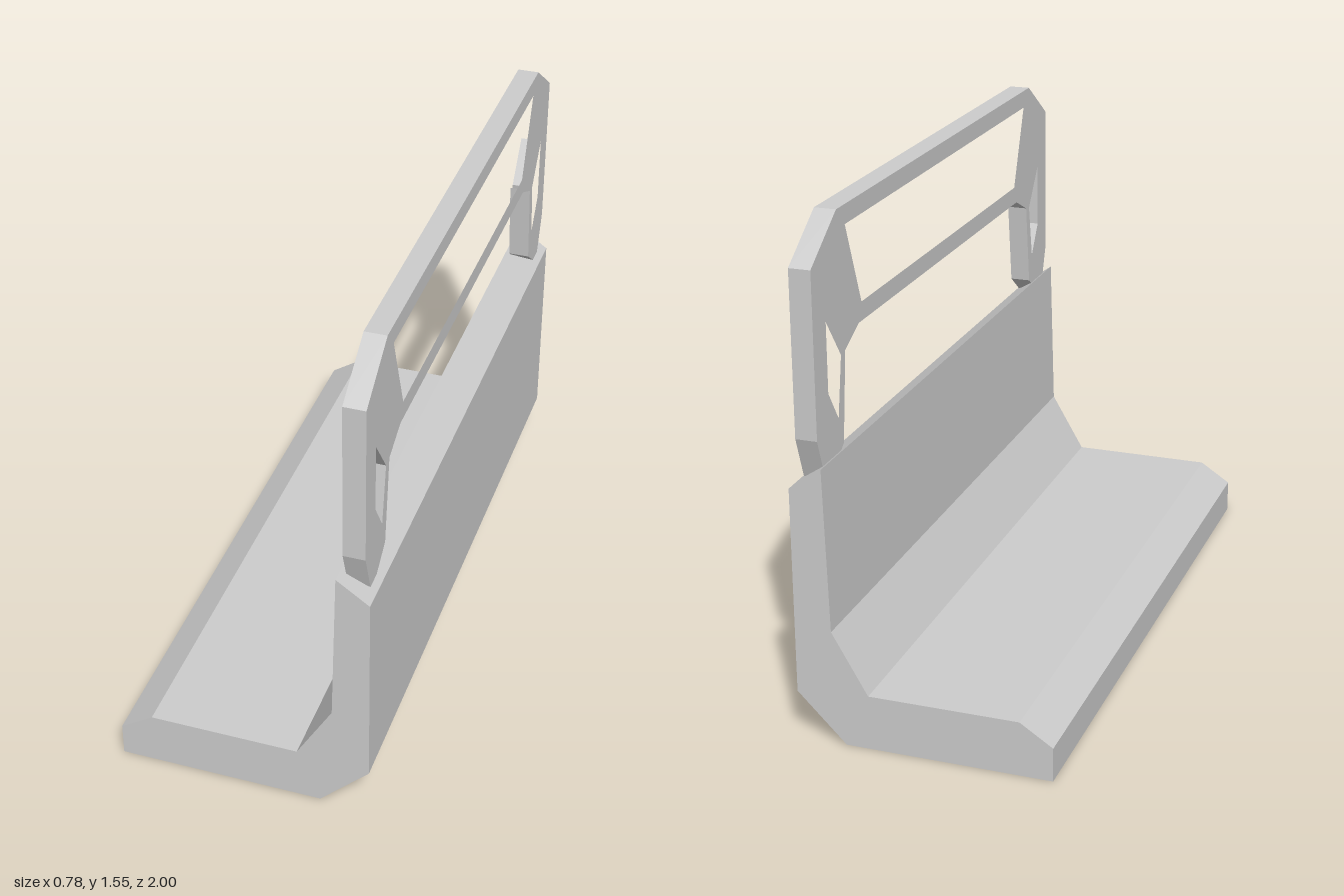
import * as THREE from 'three';

const points = (list) => list.map(([a, b]) => new THREE.Vector2(a, b));

// Closes a half outline by mirroring it about the vertical axis
const mirrored = (half) => points([...half, ...half.map(([a, b]) => [-a, b]).reverse()]);

const extrude = (shape, depth) =>
  new THREE.ExtrudeGeometry(shape, { depth, bevelEnabled: false });

export function createModel() {
  const group = new THREE.Group();
  const material = new THREE.MeshStandardMaterial({ color: 0xcccccc, flatShading: true });

  const add = (name, geometry) => {
    const mesh = new THREE.Mesh(geometry, material);
    mesh.name = name;
    group.add(mesh);
  };

  // L-shaped seat and wall, one profile running along z
  const profile = new THREE.Shape(points([
    [-0.39, 0], [0.24, 0], [0.39, 0.15], [0.39, 0.785], [0.29, 0.855],
    [0.277, 0.357], [0.168, 0.17], [-0.29, 0.17], [-0.39, 0.105],
  ]));
  add('barrierBase', extrude(profile, 2).translate(0, 0, -1));

  // Upright rail frame with two legs
  const frame = new THREE.Shape(mirrored([
    [0.805, 1.547], [0.983, 1.425], [0.983, 0.93], [0.938, 0.802], [0.882, 0.802],
    [0.805, 0.86], [0.775, 1.13], [0.675, 1.178],
  ]));

  // Long window between the two bars
  frame.holes.push(new THREE.Path(mirrored([[0.75, 1.49], [0.652, 1.235]])));

  // Small opening in each leg
  for (const side of [-1, 1]) {
    frame.holes.push(new THREE.Path(points(
      [[0.898, 1.252], [0.898, 1.042], [0.835, 0.945], [0.805, 1.125]].map(([a, b]) => [side * a, b])
    )));
  }
  add('railFrame', extrude(frame, 0.066).rotateY(Math.PI / 2).translate(0.305, 0, 0));

  return group;
}
